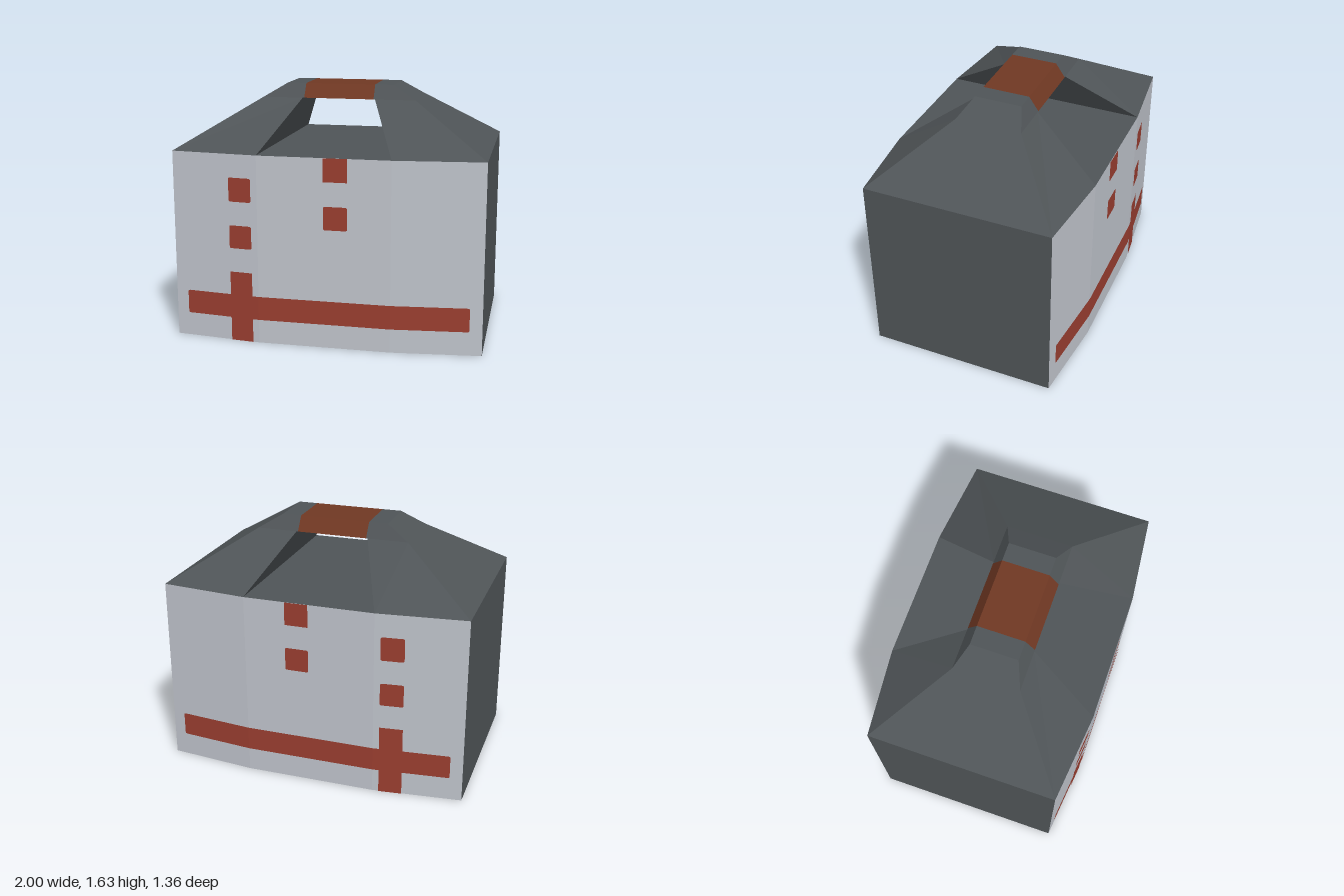
import * as THREE from 'three';

const H = 1.23, GRIP_Y = 1.54, TOP_Y = 1.63;   // deck, underside of grip, top
const BEND = 0.427, CORNER_Z = 0.615, MID_Z = 0.675;
const GRIP_X = 0.23, OPEN_X = 0.24, LOW_Z = 0.217, TOP_Z = 0.155;

const mat = (name, color) => {
  const m = new THREE.MeshStandardMaterial({ color });
  m.name = name;
  return m;
};

// Flat-shaded geometry from convex polygons, optionally mirrored
function faces(polys, sx = 1, sz = 1) {
  const pos = [];
  for (const poly of polys) {
    const p = poly.map(([x, y, z]) => [x * sx, y, z * sz]);
    if (sx * sz < 0) p.reverse();
    for (let i = 1; i < p.length - 1; i++) pos.push(...p[0], ...p[i], ...p[i + 1]);
  }
  const g = new THREE.BufferGeometry();
  g.setAttribute('position', new THREE.Float32BufferAttribute(pos, 3));
  g.computeVertexNormals();
  return g;
}

// Depth of the bowed front at a given x
const faceZ = x => MID_Z - Math.max(0, (Math.abs(x) - BEND) / (1 - BEND)) * (MID_Z - CORNER_Z);

// Thin painted patch with optionally rounded left and right corners
function patch(x0, x1, y0, y1, rl, rr, sz) {
  const s = new THREE.Shape();
  s.moveTo(x0 + rl, y0);
  s.lineTo(x1 - rr, y0);
  if (rr) s.quadraticCurveTo(x1, y0, x1, y0 + rr);
  s.lineTo(x1, y1 - rr);
  if (rr) s.quadraticCurveTo(x1, y1, x1 - rr, y1);
  s.lineTo(x0 + rl, y1);
  if (rl) s.quadraticCurveTo(x0, y1, x0, y1 - rl);
  s.lineTo(x0, y0 + rl);
  if (rl) s.quadraticCurveTo(x0, y0, x0 + rl, y0);
  const g = new THREE.ShapeGeometry(s, 3);
  const p = g.attributes.position;
  for (let i = 0; i < p.count; i++) p.setZ(i, sz * (faceZ(p.getX(i)) + 0.004));
  if (sz < 0) g.setIndex(Array.from(g.index.array).reverse());
  g.computeVertexNormals();
  return g;
}

export function createModel() {
  const group = new THREE.Group();
  group.name = 'carryCase';
  const dark = mat('darkGrey', 0x4f5457);
  const light = mat('lightGrey', 0xc0c4cc);
  const red = mat('red', 0x9a3e30);
  const brown = mat('brown', 0x703823);
  const add = (name, geo, m, parent = group) => {
    const mesh = new THREE.Mesh(geo, m);
    mesh.name = name;
    parent.add(mesh);
  };

  // Base and the deck under the grip
  const plan = [[1, CORNER_Z], [BEND, MID_Z], [-BEND, MID_Z], [-1, CORNER_Z],
    [-1, -CORNER_Z], [-BEND, -MID_Z], [BEND, -MID_Z], [1, -CORNER_Z]];
  add('base', faces([plan.map(([x, z]) => [x, 0, z])]), dark);
  add('deck', faces([[[-BEND, H, MID_Z], [BEND, H, MID_Z], [BEND, H, -MID_Z], [-BEND, H, -MID_Z]]]), dark);

  // Bowed light panels, front and back
  const xs = [-1, -BEND, BEND, 1];
  const panel = [0, 1, 2].map(i => {
    const a = xs[i], b = xs[i + 1];
    return [[a, 0, faceZ(a)], [b, 0, faceZ(b)], [b, H, faceZ(b)], [a, H, faceZ(a)]];
  });

  // Red markings: x0, x1, y0, y1, left radius, right radius
  const r = 0.012;
  const marks = [
    [-0.92, -BEND, 0.155, 0.31, r, 0], [-BEND, BEND, 0.155, 0.31, 0, 0], [BEND, 0.92, 0.155, 0.31, 0, r],
    [-0.617, -0.468, 0, 0.155, 0, 0], [-0.617, -0.468, 0.31, 0.463, 0, 0],
    [-0.617, -0.468, 0.62, 0.77, r, r], [-0.617, -0.468, 0.925, 1.08, r, r],
    [0, 0.153, 0.775, 0.925, r, r], [0, 0.153, 1.08, H, 0, 0],
  ];
  for (const [sz, side] of [[1, 'front'], [-1, 'back']]) {
    add(side + 'Panel', faces(panel, 1, sz), light);
    const set = new THREE.Group();
    set.name = side + 'Markings';
    group.add(set);
    marks.forEach(m => add('marking', patch(...m, sz), red, set));
  }

  // End walls and the sloping handle legs
  for (const [sx, side] of [[1, 'left'], [-1, 'right']]) {
    add(side + 'Wall', faces([[[1, 0, CORNER_Z], [1, 0, -CORNER_Z], [1, H, -CORNER_Z], [1, H, CORNER_Z]]], sx), dark);
    const leg = new THREE.Group();
    leg.name = side + 'HandleLeg';
    group.add(leg);
    add('legSlopes', faces([
      [[1, H, CORNER_Z], [1, H, -CORNER_Z], [0.505, GRIP_Y, -LOW_Z], [0.505, GRIP_Y, LOW_Z]],
      [[0.505, GRIP_Y, LOW_Z], [0.505, GRIP_Y, -LOW_Z], [0.355, TOP_Y, -TOP_Z], [0.355, TOP_Y, TOP_Z]],
      [[GRIP_X, TOP_Y, TOP_Z], [0.355, TOP_Y, TOP_Z], [0.355, TOP_Y, -TOP_Z], [GRIP_X, TOP_Y, -TOP_Z]],
      [[OPEN_X, GRIP_Y, LOW_Z], [OPEN_X, GRIP_Y, -LOW_Z], [BEND, H, -MID_Z], [BEND, H, MID_Z]],
      [[GRIP_X, GRIP_Y, -LOW_Z], [OPEN_X, GRIP_Y, -LOW_Z], [OPEN_X, GRIP_Y, LOW_Z], [GRIP_X, GRIP_Y, LOW_Z]],
    ], sx), dark);
    for (const sz of [1, -1]) add('legFace', faces([
      [[BEND, H, MID_Z], [1, H, CORNER_Z], [0.505, GRIP_Y, LOW_Z], [OPEN_X, GRIP_Y, LOW_Z]],
      [[GRIP_X, GRIP_Y, LOW_Z], [0.505, GRIP_Y, LOW_Z], [0.355, TOP_Y, TOP_Z], [GRIP_X, TOP_Y, TOP_Z]],
    ], sx, sz), dark, leg);
  }

  // Brown grip with bevelled long sides
  const g = GRIP_X;
  const bevel = [[-g, GRIP_Y, LOW_Z], [g, GRIP_Y, LOW_Z], [g, TOP_Y, TOP_Z], [-g, TOP_Y, TOP_Z]];
  add('gripFront', faces([bevel]), brown);
  add('gripBack', faces([bevel], 1, -1), brown);
  add('gripTopAndUnderside', faces([
    [[-g, TOP_Y, TOP_Z], [g, TOP_Y, TOP_Z], [g, TOP_Y, -TOP_Z], [-g, TOP_Y, -TOP_Z]],
    [[-g, GRIP_Y, -LOW_Z], [g, GRIP_Y, -LOW_Z], [g, GRIP_Y, LOW_Z], [-g, GRIP_Y, LOW_Z]],
  ]), brown);
  return group;
}
